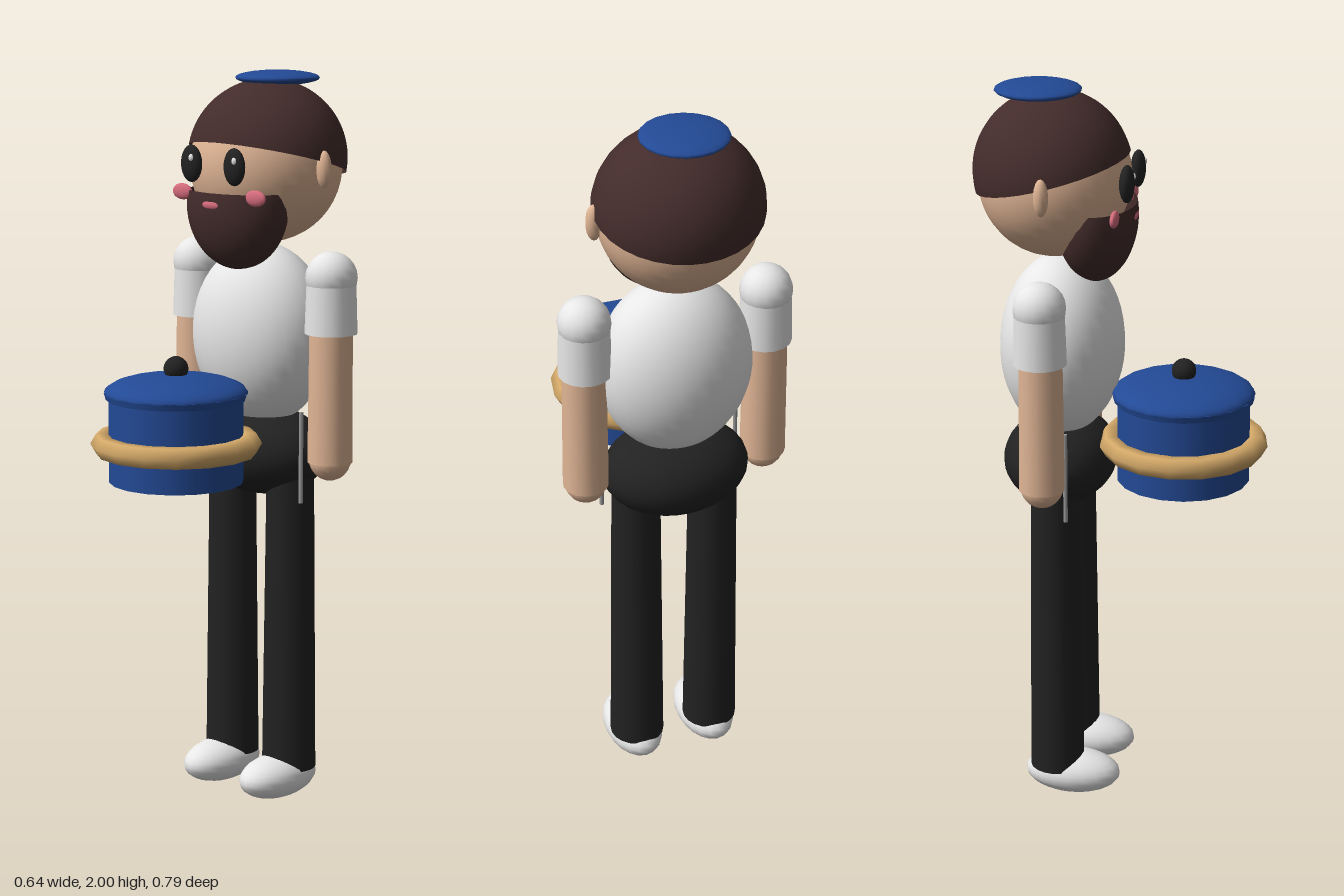
import * as THREE from 'three';

const mat = (name, color, side = THREE.FrontSide) => {
  const m = new THREE.MeshStandardMaterial({ color, side });
  m.name = name;
  return m;
};

export function createModel() {
  const model = new THREE.Group();
  model.name = 'drummer';

  const skin = mat('skin', 0xe0b595);
  const hair = mat('dark brown hair', 0x432c2b, THREE.DoubleSide);
  const white = mat('white cloth', 0xe8e8e8);
  const blue = mat('blue', 0x234a96);
  const black = mat('black', 0x222222);
  const gold = mat('gold', 0xd3a868);
  const pink = mat('pink', 0xd56c7d);
  const grey = mat('grey metal', 0x999999);

  const add = (name, geometry, material, [x, y, z], parent = model) => {
    const mesh = new THREE.Mesh(geometry, material);
    mesh.name = name;
    mesh.position.set(x, y, z);
    parent.add(mesh);
    return mesh;
  };
  // Ellipsoid, optionally cut to a range of polar angles
  const ball = (name, material, pos, radii, seg = 24, t0 = 0, t1 = Math.PI) => {
    const g = new THREE.SphereGeometry(1, seg, Math.ceil(seg * 0.7), 0, Math.PI * 2, t0, t1 - t0);
    g.scale(...radii);
    return add(name, g, material, pos);
  };
  const tube = (name, material, pos, rTop, rBottom, height, seg = 20, open = false) =>
    add(name, new THREE.CylinderGeometry(rTop, rBottom, height, seg, 1, open), material, pos);

  // Head, hair bowl tilted back, beard and cap
  ball('head', skin, [0, 1.75, -0.182], [0.21, 0.21, 0.203], 32);
  const hairCap = ball('hair', hair, [0, 1.765, -0.187], [0.222, 0.215, 0.21], 32, 0, Math.PI / 2);
  hairCap.rotation.x = -0.26;
  ball('beard', hair, [0, 1.65, -0.07], [0.16, 0.175, 0.108], 28, 1.36);
  ball('cap', blue, [0, 1.98, -0.225], [0.115, 0.02, 0.115], 20);
  ball('mouth', pink, [0, 1.655, 0.03], [0.037, 0.014, 0.01], 14);

  // Torso and hips
  ball('torso', white, [0, 1.29, -0.165], [0.208, 0.25, 0.166], 32);
  ball('hips', black, [0, 0.968, -0.172], [0.2, 0.123, 0.153], 28);

  // Paired parts
  for (const s of [-1, 1]) {
    const side = s > 0 ? 'left' : 'right';
    ball(side + 'Eye', black, [s * 0.079, 1.76, 0.025], [0.035, 0.05, 0.02], 16);
    ball(side + 'EyeGlint', white, [s * 0.079 + 0.013, 1.777, 0.04], [0.008, 0.01, 0.006], 8);
    ball(side + 'Cheek', pink, [s * 0.135, 1.68, 0.003], [0.036, 0.022, 0.011], 14);
    ball(side + 'Ear', skin, [s * 0.218, 1.75, -0.172], [0.022, 0.05, 0.02], 12);

    ball(side + 'Shoulder', white, [s * 0.248, 1.465, -0.172], [0.07, 0.07, 0.07], 16);
    tube(side + 'Sleeve', white, [s * 0.248, 1.39, -0.172], 0.066, 0.071, 0.15, 16);
    tube(side + 'Forearm', skin, [s * 0.25, 1.15, -0.17], 0.058, 0.061, 0.37, 16);
    ball(side + 'Hand', skin, [s * 0.25, 0.972, -0.17], [0.057, 0.057, 0.057], 16);
    tube(side + 'Stick', grey, [s * 0.19, 0.975, -0.12], 0.006, 0.006, 0.25, 8);

    tube(side + 'Leg', black, [s * 0.109, 0.515, -0.166], 0.065, 0.075, 0.87);
    ball(side + 'Shoe', white, [s * 0.108, 0.061, -0.122], [0.078, 0.06, 0.133], 20);
  }

  // Lidded drum with a gold hoop
  const z = 0.165;
  tube('drumBody', blue, [0, 1.045, z], 0.18, 0.18, 0.235, 18);
  tube('drumLidRim', blue, [0, 1.16, z], 0.192, 0.187, 0.018, 18);
  ball('drumLid', blue, [0, 1.167, z], [0.192, 0.05, 0.192], 18, 0, Math.PI / 2);
  ball('drumKnob', black, [0, 1.232, z], [0.033, 0.033, 0.033], 16);
  const hoop = add('drumHoop', new THREE.TorusGeometry(0.198, 0.031, 6, 16), gold, [0, 1.03, z]);
  hoop.rotation.x = Math.PI / 2;

  return model;
}
